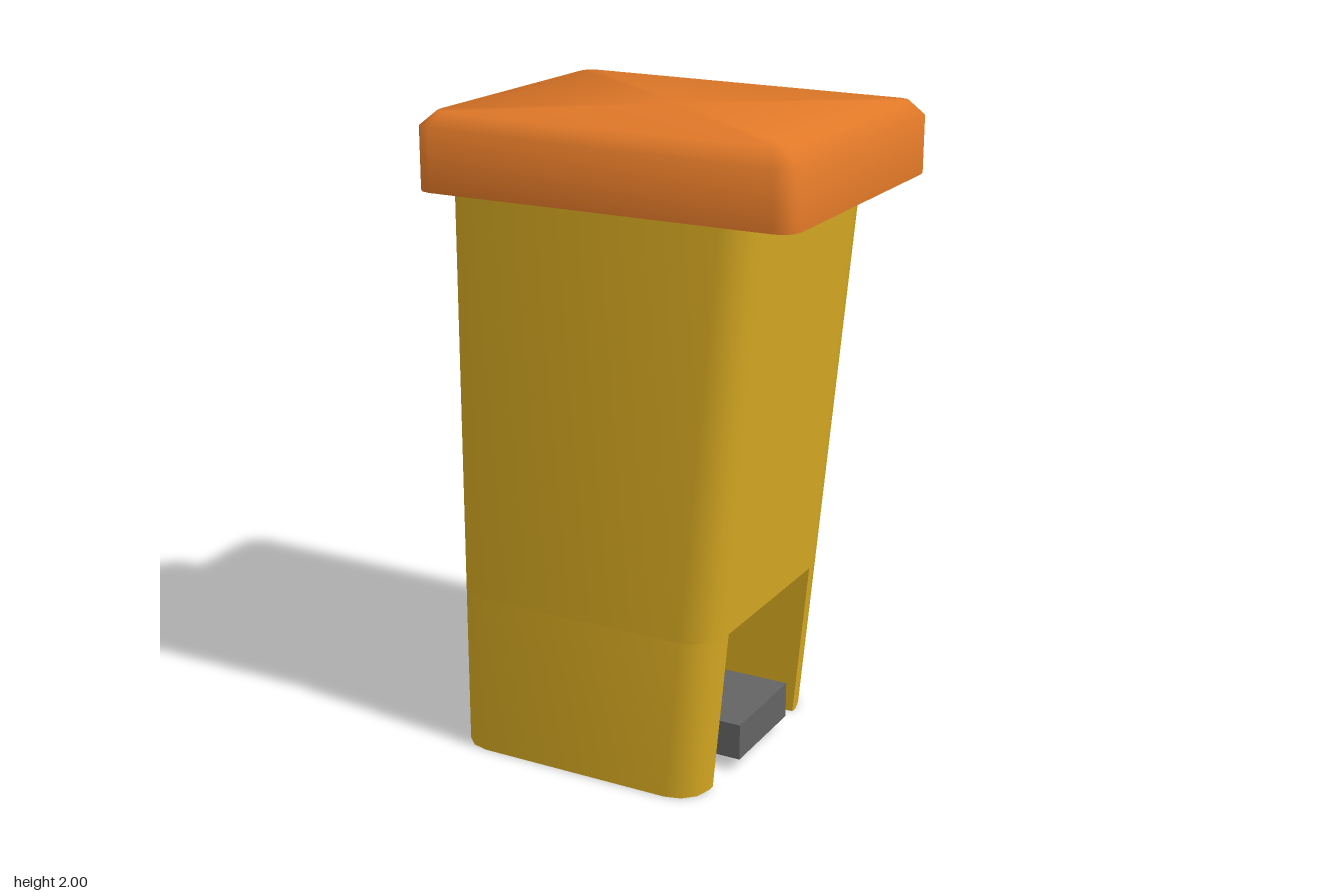
import * as THREE from 'three';
import { toCreasedNormals } from 'three/addons/utils/BufferGeometryUtils.js';

const yellow = new THREE.MeshStandardMaterial({ color: 0xd8aa22, side: THREE.DoubleSide });
yellow.name = 'yellow plastic';
const orange = new THREE.MeshStandardMaterial({ color: 0xe07828, side: THREE.DoubleSide });
orange.name = 'orange plastic';
const grey = new THREE.MeshStandardMaterial({ color: 0x646464 });
grey.name = 'grey plastic';

// Rounded rectangle at height y(x, z), starting on the +x side.
function roundedRing(x0, x1, w, r, y, steps = 3) {
  const ring = [];
  const corners = [[x1 - r, w - r], [x0 + r, w - r], [x0 + r, r - w], [x1 - r, r - w]];
  corners.forEach(([cx, cz], k) => {
    for (let i = 0; i <= steps; i++) {
      const a = (k + i / steps) * Math.PI / 2;
      const x = cx + r * Math.cos(a), z = cz + r * Math.sin(a);
      ring.push([x, typeof y === 'function' ? y(x) : y, z]);
    }
  });
  return ring;
}

// Skin a list of matching rings, with optional end caps.
function loft(rings, { closed = true, start = false, end = false, lift = 0 } = {}) {
  const n = rings[0].length, pos = rings.flat(2), index = [];
  for (let r = 0; r < rings.length - 1; r++) {
    for (let i = 0; i < (closed ? n : n - 1); i++) {
      const j = (i + 1) % n, a = r * n + i, b = r * n + j;
      index.push(a, a + n, b + n, a, b + n, b);
    }
  }
  const cap = (r, flip, up) => {
    const c = pos.length / 3;
    for (let k = 0; k < 3; k++) {
      pos.push(rings[r].reduce((s, p) => s + p[k], 0) / n + (k === 1 ? up : 0));
    }
    for (let i = 0; i < n; i++) {
      const a = r * n + i, b = r * n + (i + 1) % n;
      index.push(c, flip ? a : b, flip ? b : a);
    }
  };
  if (start) cap(0, true, 0);
  if (end) cap(rings.length - 1, false, lift);
  const g = new THREE.BufferGeometry();
  g.setAttribute('position', new THREE.Float32BufferAttribute(pos, 3));
  g.setIndex(index);
  return toCreasedNormals(g, 1.15);
}

export function createModel() {
  const model = new THREE.Group();
  model.name = 'pedalBin';
  const add = (name, geometry, material) => {
    const mesh = new THREE.Mesh(geometry, material);
    mesh.name = name;
    model.add(mesh);
    return mesh;
  };

  // Hollow tapered body; the +x wall leans out and is cut away low down.
  const nicheW = 0.287, nicheTop = 0.51, nicheBack = 0.06;
  const frontX = (y) => 0.39 + 0.0904 * y;
  const bodyRing = (y) => [
    [frontX(y), y, nicheW],
    ...roundedRing(-0.44, frontX(y), 0.412, 0.1, y),
    [frontX(y), y, -nicheW],
  ];
  add('upperBody', loft([bodyRing(nicheTop), bodyRing(1.8)]), yellow);
  add('lowerBody', loft([bodyRing(0), bodyRing(nicheTop)], { closed: false }), yellow);

  // Pedal niche: side walls and back wall, then the ceiling.
  const nicheRing = (y) => [
    [frontX(y), y, -nicheW], [nicheBack, y, -nicheW],
    [nicheBack, y, nicheW], [frontX(y), y, nicheW],
  ];
  add('nicheWalls', loft([nicheRing(0), nicheRing(nicheTop)], { closed: false }), yellow);
  const ceiling = loft([
    [[nicheBack, nicheTop, -nicheW], [nicheBack, nicheTop, nicheW]],
    [[frontX(nicheTop), nicheTop, -nicheW], [frontX(nicheTop), nicheTop, nicheW]],
  ], { closed: false });
  add('nicheCeiling', ceiling, yellow);

  // Foot pedal, passing through the niche's back wall.
  const pedal = add('pedal', new THREE.BoxGeometry(0.45, 0.115, 0.335), grey);
  pedal.position.set(0.195, 0.1, 0);

  // Lid with a softened rim and slightly domed top.
  const shoulder = (x) => 1.95 - 0.012 * x;
  const crown = (x) => 1.993 - 0.007 * x;
  add('lid', loft([
    roundedRing(-0.485, 0.7, 0.486, 0.055, 1.77),
    roundedRing(-0.485, 0.7, 0.486, 0.055, shoulder),
    roundedRing(-0.445, 0.66, 0.44, 0.04, crown),
  ], { start: true, end: true, lift: 0.006 }), orange);

  // Hinge cover: an arch tapering down to the rear end.
  const arch = (x, w, top, bevel) => [
    [x, 1.77, -w], [x, top - bevel, -w], [x, top, bevel - w],
    [x, top, w - bevel], [x, top - bevel, w], [x, 1.77, w],
  ];
  add('hingeCover', loft([
    arch(-0.42, 0.165, 1.998, 0.06),
    arch(-0.655, 0.165, 1.917, 0.06),
    arch(-0.7, 0.112, 1.85, 0.03),
  ], { end: true }), orange);

  return model;
}
